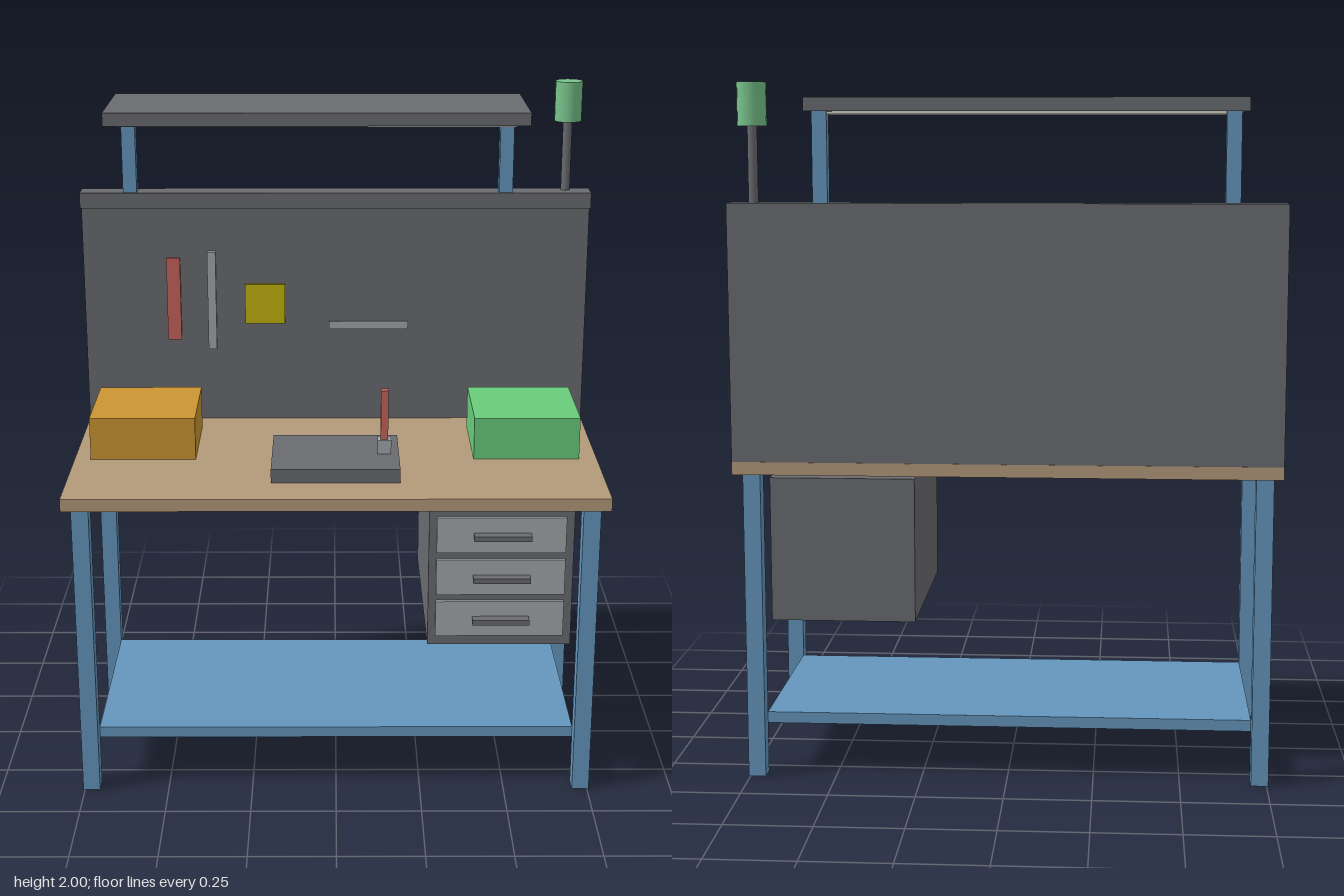
import * as THREE from 'three';

const mat = (name, color) => {
  const m = new THREE.MeshStandardMaterial({ color });
  m.name = name;
  return m;
};

export function createModel() {
  const model = new THREE.Group();
  model.name = 'workbench';

  const steel = mat('dark grey steel', 0x6a6b70);
  const wood = mat('tan wood', 0xb3997a);
  const blue = mat('blue frame', 0x6496bd);
  const orange = mat('orange bin', 0xcc9633);
  const green = mat('green bin', 0x68cc7a);
  const silver = mat('light grey metal', 0xa3a7ab);
  const red = mat('red grip', 0xc8635a);
  const yellow = mat('yellow plastic', 0xc4b30f);
  const beacon = mat('beacon green', 0x78c48c);
  const diffuser = mat('light diffuser', 0xd4d4cc);

  // Box given by its extents along each axis
  const box = (name, material, [x0, x1], [y0, y1], [z0, z1], parent = model) => {
    const mesh = new THREE.Mesh(new THREE.BoxGeometry(x1 - x0, y1 - y0, z1 - z0), material);
    mesh.position.set((x0 + x1) / 2, (y0 + y1) / 2, (z0 + z1) / 2);
    mesh.name = name;
    parent.add(mesh);
    return mesh;
  };
  const group = (name) => {
    const g = new THREE.Group();
    g.name = name;
    model.add(g);
    return g;
  };

  // Table: top, four legs, lower shelf
  box('tableTop', wood, [-0.78, 0.78], [0.9, 0.937], [-0.38, 0.4]);
  for (const x of [-0.73, 0.73]) {
    for (const z of [-0.325, 0.343]) {
      const name = (z > 0 ? 'front' : 'back') + (x > 0 ? 'Left' : 'Right') + 'Leg';
      box(name, blue, [x - 0.025, x + 0.025], [0, 0.9], [z - 0.026, z + 0.026]);
    }
  }
  box('lowerShelf', blue, [-0.705, 0.705], [0.147, 0.18], [-0.3, 0.317]);

  // Drawer cabinet with three fronts and bar handles
  const cabinet = group('drawerCabinet');
  box('cabinetBody', steel, [0.267, 0.685], [0.46, 0.88], [-0.31, 0.338], cabinet);
  for (const y of [0.547, 0.677, 0.807]) {
    box('drawerFront', silver, [0.289, 0.661], [y - 0.054, y + 0.054], [0.338, 0.351], cabinet);
    box('drawerHandle', steel, [0.395, 0.56], [y - 0.008, y + 0.008], [0.351, 0.38], cabinet);
  }

  // Back panel and its overhanging top rail
  box('backPanel', steel, [-0.78, 0.78], [0.937, 1.62], [-0.379, -0.335]);
  box('panelRail', steel, [-0.78, 0.78], [1.62, 1.668], [-0.379, -0.304]);

  // Overhead shelf on two posts, with a lamp plate beneath
  for (const x of [-0.627, 0.52]) {
    box('shelfPost', blue, [x - 0.021, x + 0.021], [1.668, 1.92], [-0.353, -0.312]);
  }
  box('overheadShelf', steel, [-0.668, 0.56], [1.92, 1.958], [-0.382, -0.016]);
  box('lightPlate', diffuser, [-0.63, 0.522], [1.912, 1.92], [-0.345, -0.053]);

  // Signal beacon on a pole
  const signal = group('signalBeacon');
  const cylinder = (name, material, r, y0, y1, sides) => {
    const mesh = new THREE.Mesh(new THREE.CylinderGeometry(r, r, y1 - y0, sides), material);
    mesh.position.set(0.706, (y0 + y1) / 2, -0.358);
    mesh.name = name;
    signal.add(mesh);
  };
  cylinder('beaconPole', steel, 0.014, 1.668, 1.88, 12);
  cylinder('beaconLamp', beacon, 0.041, 1.88, 2, 18);

  // Bins on the table
  box('rightBin', orange, [-0.732, -0.418], [0.937, 1.065], [-0.253, 0.06]);
  box('leftBin', green, [0.412, 0.727], [0.937, 1.065], [-0.253, 0.06]);

  // Work plate with a small upright tool
  box('workPlate', steel, [-0.188, 0.186], [0.937, 0.978], [-0.043, 0.266]);
  box('toolBase', silver, [0.123, 0.163], [0.978, 1.02], [0.091, 0.132]);
  box('toolHandle', red, [0.132, 0.154], [1.02, 1.17], [0.1, 0.122]);

  // Tools hung on the back panel
  const tools = group('hangingTools');
  const hang = (name, material, xs, ys) => box(name, material, xs, ys, [-0.335, -0.32], tools);
  hang('redTool', red, [-0.523, -0.481], [1.2, 1.46]);
  hang('longRule', silver, [-0.397, -0.371], [1.17, 1.48]);
  hang('yellowTool', yellow, [-0.281, -0.157], [1.252, 1.377]);
  hang('shortRule', silver, [-0.02, 0.226], [1.234, 1.258]);

  return model;
}
